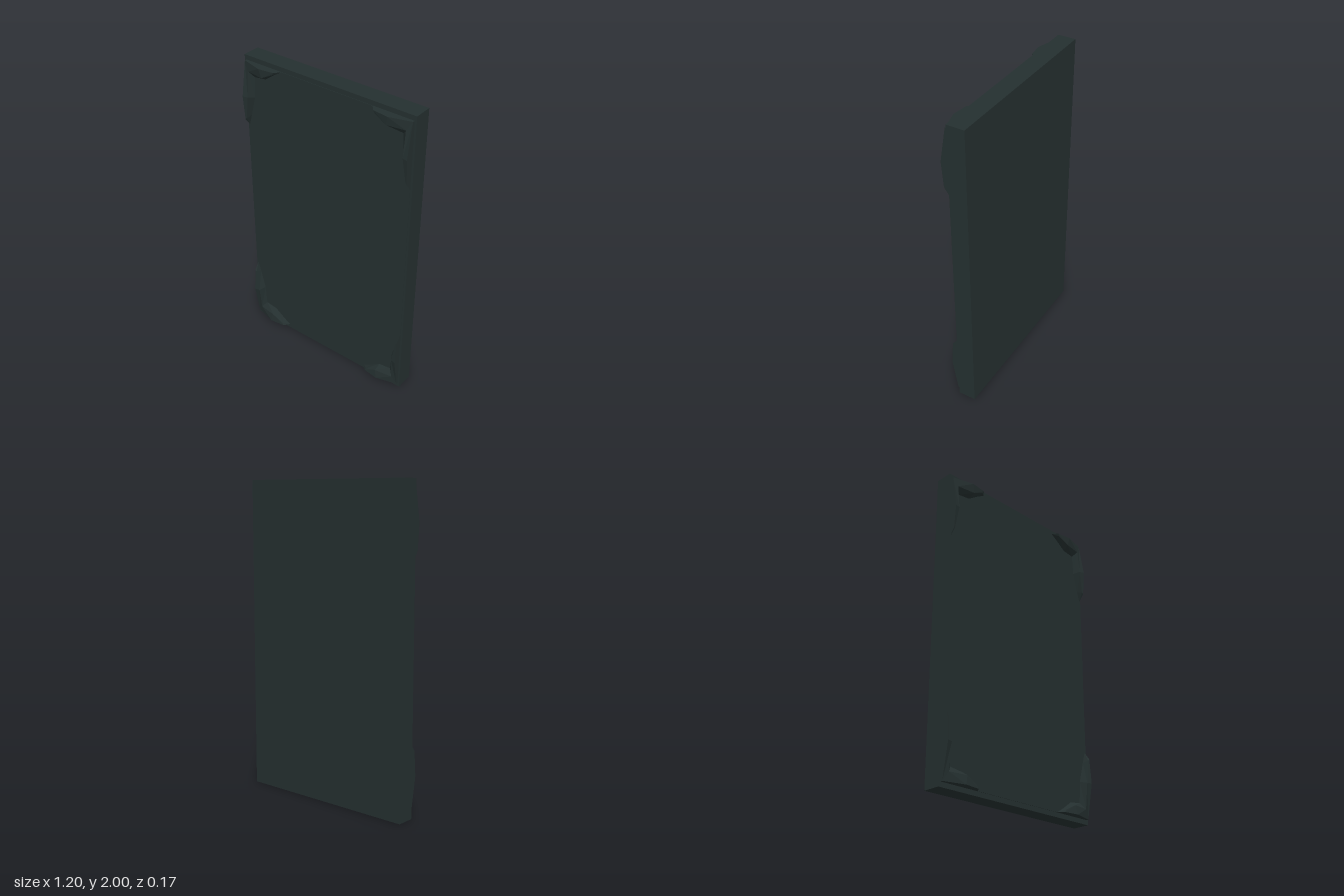
import * as THREE from 'three';

const darkSlate = new THREE.MeshStandardMaterial({ color: 0x242f2f, flatShading: true });
darkSlate.name = 'darkSlate';

const FACE = 0.033; // z of the panel front

// Stations along the L-shaped corner guard: [outer edge, ridge, foot], measured from the panel centre
const STATIONS = [
  [[0.32, 0.97, FACE], [0.32, 0.97, FACE], [0.32, 0.97, FACE]],
  [[0.35, 0.97, 0.07], [0.36, 0.953, 0.068], [0.375, 0.935, FACE]],
  [[0.45, 0.97, 0.083], [0.437, 0.913, 0.075], [0.442, 0.887, FACE]],
  [[0.587, 0.97, 0.045], [0.554, 0.913, 0.058], [0.525, 0.876, FACE]],
  [[0.587, 0.75, 0.083], [0.554, 0.75, 0.075], [0.533, 0.74, FACE]],
  [[0.587, 0.59, 0.07], [0.577, 0.6, 0.068], [0.567, 0.61, FACE]],
  [[0.587, 0.54, FACE], [0.587, 0.54, FACE], [0.587, 0.54, FACE]],
];

// Faceted corner guard, mirrored by sx and sy
function cornerGuard(sx, sy) {
  const rows = STATIONS.map(([outer, ridge, foot]) =>
    [[outer[0], outer[1], FACE], outer, ridge, foot].map(([x, y, z]) => [sx * x, 1 + sy * y, z]));
  const positions = [];
  const triangle = (a, b, c) => {
    const corners = sx * sy > 0 ? [a, b, c] : [a, c, b];
    positions.push(...corners.flat());
  };
  for (let i = 0; i < rows.length - 1; i++) {
    for (let j = 0; j < 3; j++) {
      const a = rows[i][j], b = rows[i][j + 1], c = rows[i + 1][j + 1], d = rows[i + 1][j];
      triangle(a, b, c);
      triangle(a, c, d);
    }
  }
  const geometry = new THREE.BufferGeometry();
  geometry.setAttribute('position', new THREE.Float32BufferAttribute(positions, 3));
  geometry.computeVertexNormals();
  return geometry;
}

function slab(name, width, height, back, front) {
  const mesh = new THREE.Mesh(new THREE.BoxGeometry(width, height, front - back), darkSlate);
  mesh.name = name;
  mesh.position.set(0, 1, (back + front) / 2);
  return mesh;
}

export function createModel() {
  const model = new THREE.Group();
  model.name = 'corneredPanel';

  // Main slab with a slightly raised front plate
  model.add(slab('panel', 1.2, 2, -0.085, 0.03));
  model.add(slab('frontPlate', 1.174, 1.94, 0.03, FACE));

  // One guard in each corner
  for (const [sx, side] of [[1, 'Left'], [-1, 'Right']]) {
    for (const [sy, level] of [[1, 'top'], [-1, 'bottom']]) {
      const guard = new THREE.Mesh(cornerGuard(sx, sy), darkSlate);
      guard.name = `${level}${side}CornerGuard`;
      model.add(guard);
    }
  }
  return model;
}
